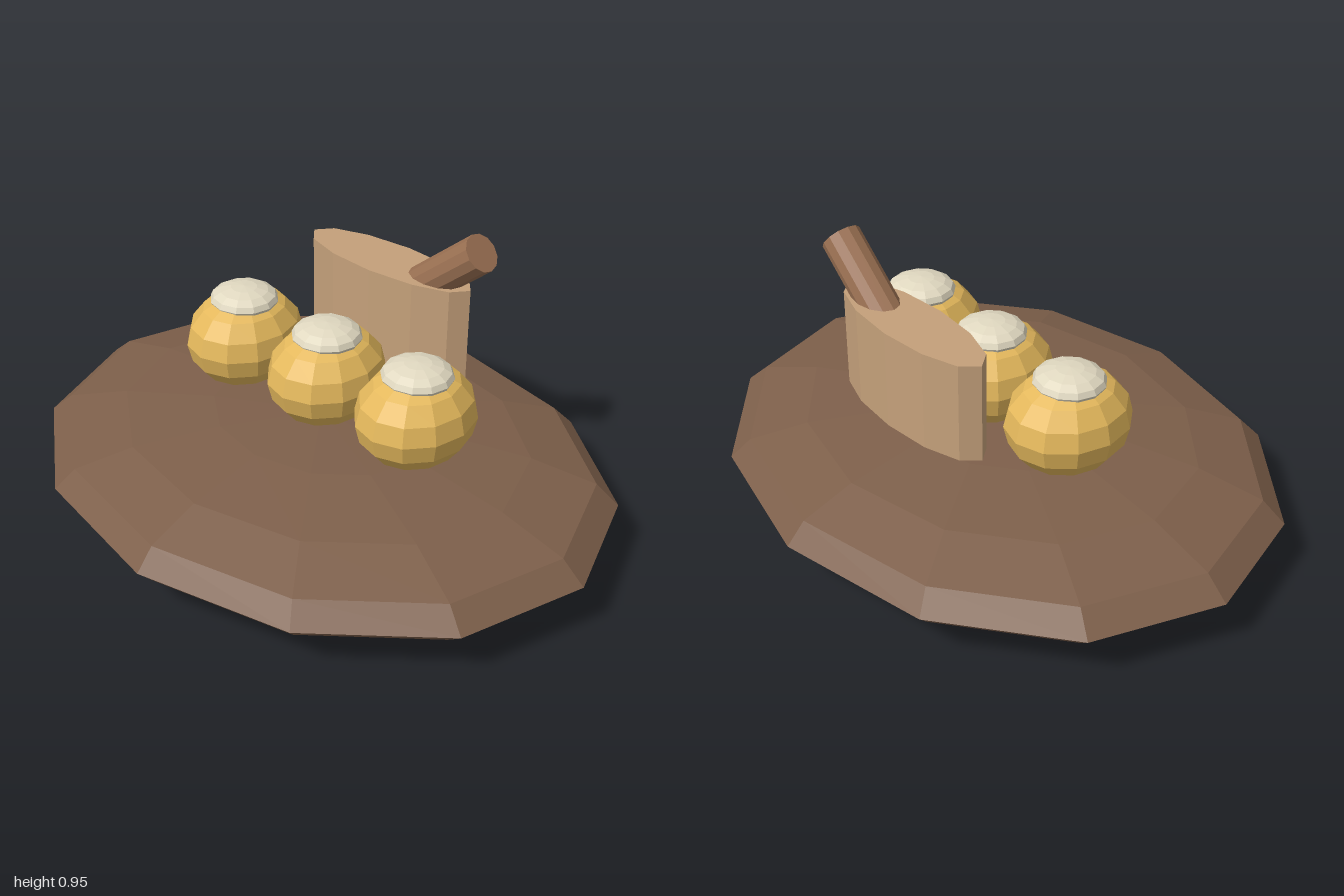
import * as THREE from 'three';

const mat = (color) => new THREE.MeshStandardMaterial({ color, flatShading: true });

export function createModel() {
  const model = new THREE.Group();
  const plateMat = mat(0x7d5f4a);
  const bunMat = mat(0xe4b85c);
  const capMat = mat(0xe0d8c0);
  const blockMat = mat(0xc4a07a);
  const handleMat = mat(0x9a7052);

  const add = (name, geometry, material, x, y, z) => {
    const mesh = new THREE.Mesh(geometry, material);
    mesh.name = name;
    mesh.position.set(x, y, z);
    model.add(mesh);
    return mesh;
  };
  // Faceted ellipsoid with given half-sizes
  const ellipsoid = (rx, ry, rz) => new THREE.SphereGeometry(1, 12, 8).scale(rx, ry, rz);

  // Wide flattened platter
  add('platter', ellipsoid(1, 0.171, 0.805), plateMat, 0, 0.173, 0);

  // Row of three round buns, each with a pale cap
  for (const x of [-0.357, 0, 0.357]) {
    add('bun', ellipsoid(0.18, 0.16, 0.205), bunMat, x, 0.477, -0.024);
    add('bunCap', ellipsoid(0.113, 0.045, 0.111), capMat, x, 0.613, -0.024);
  }

  // Oval block behind the buns
  const block = new THREE.CylinderGeometry(1, 1, 0.32, 12).scale(0.32, 1, 0.102);
  add('ovalBlock', block, blockMat, 0, 0.6, -0.323);

  // Slanted handle rising out of the block towards the left
  const tilt = 0.87, length = 0.4;
  const handle = add('handle', new THREE.CylinderGeometry(0.0625, 0.0625, length, 12), handleMat,
    0.352 - Math.sin(tilt) * length / 2, 0.9 - Math.cos(tilt) * length / 2, -0.323);
  handle.rotation.z = -tilt;

  return model;
}
